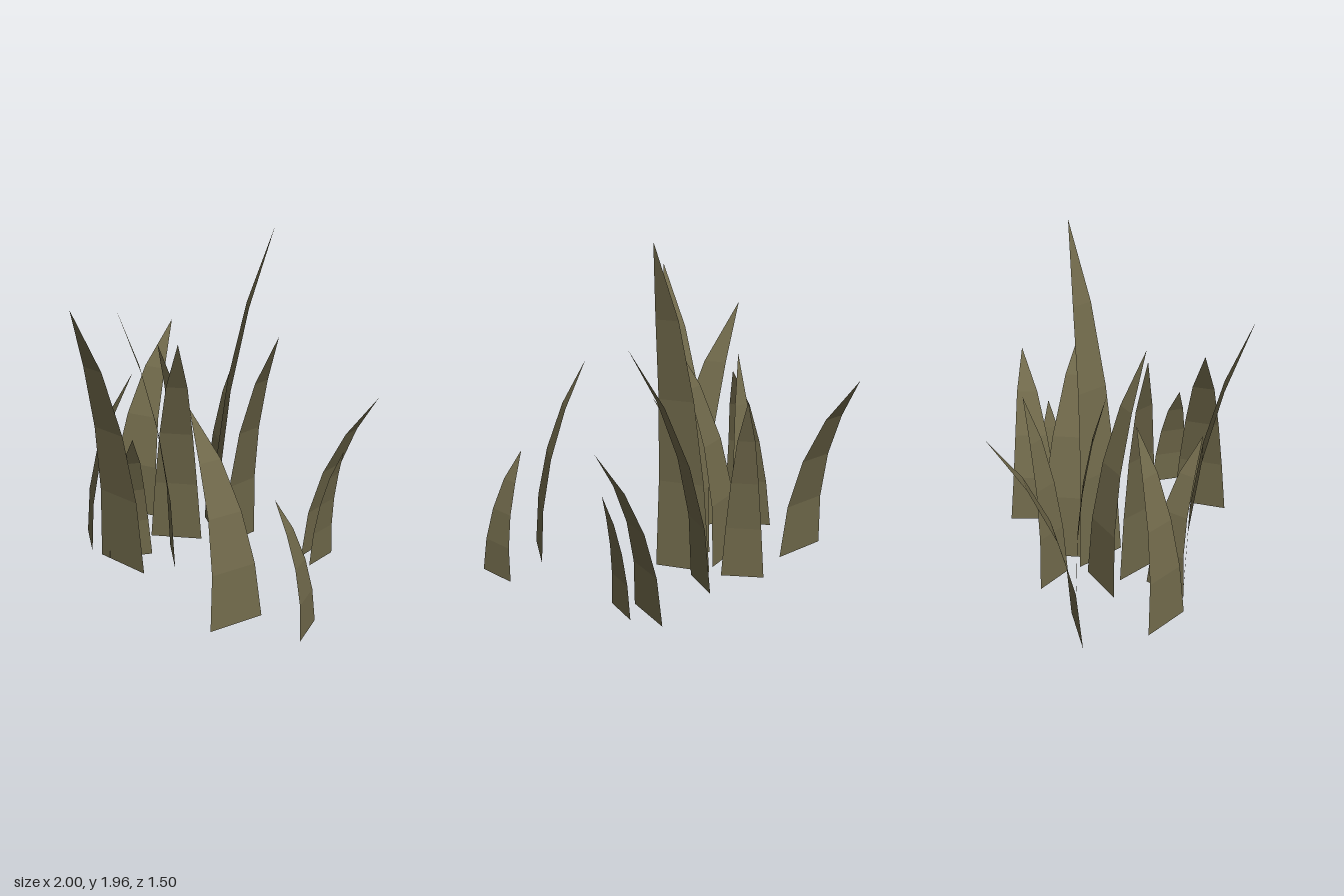
import * as THREE from 'three';

// Each blade: base corner A (x, z), base corner B (x, z), tip (x, y, z)
const BLADES = [
  [[-1.0, 0.0], [-0.69, -0.14], [-0.98, 1.16, -0.49]],
  [[-0.81, 0.31], [-0.55, 0.455], [-0.495, 1.07, 0.175]],
  [[-0.55, -0.15], [-0.35, -0.195], [-0.465, 1.22, 0.015]],
  [[-0.48, 0.435], [-0.125, 0.39], [-0.253, 1.6, 0.745]],
  [[-0.32, 0.05], [-0.06, 0.215], [-0.55, 1.46, 0.245]],
  [[-0.41, 0.43], [-0.3, 0.2], [-0.1, 0.85, 0.47]],
  [[-0.5, 0.055], [-0.27, -0.15], [-0.1, 1.33, 0.15]],
  [[-0.5, -0.365], [-0.28, -0.265], [-0.34, 1.1, -0.48]],
  [[-0.23, -0.205], [0.03, -0.02], [0.14, 1.96, -0.335]],
  [[-0.145, -0.465], [-0.12, -0.205], [0.26, 1.38, -0.27]],
  [[0.22, -0.75], [0.285, -0.455], [0.57, 1.0, -0.75]],
  [[0.36, -0.63], [0.402, -0.41], [0.49, 0.7, -0.57]],
  [[0.66, 0.19], [0.625, 0.515], [0.325, 1.14, 0.41]],
  [[0.88, 0.005], [0.995, 0.22], [0.757, 0.71, 0.195]],
];
const SEGMENTS = 4;

// Flat ribbon that tapers to its tip and leans further the higher it goes
function bladeGeometry([a, b, tip]) {
  const mid = [(a[0] + b[0]) / 2, (a[1] + b[1]) / 2];
  const half = [(b[0] - a[0]) / 2, (b[1] - a[1]) / 2];
  const positions = [];
  const index = [];
  for (let i = 0; i <= SEGMENTS; i++) {
    const t = i / SEGMENTS;
    const lean = t * t;
    const width = Math.pow(1 - t, 0.65);
    const x = mid[0] + (tip[0] - mid[0]) * lean;
    const y = tip[1] * (1.12 * t - 0.12 * t * t);
    const z = mid[1] + (tip[2] - mid[1]) * lean;
    if (i === SEGMENTS) {
      positions.push(x, y, z);
      break;
    }
    for (const side of [-1, 1]) {
      positions.push(x + side * half[0] * width, y, z + side * half[1] * width);
    }
    const k = i * 2;
    if (i < SEGMENTS - 1) index.push(k, k + 1, k + 3, k, k + 3, k + 2);
    else index.push(k, k + 1, k + 2);
  }
  const geometry = new THREE.BufferGeometry();
  geometry.setAttribute('position', new THREE.Float32BufferAttribute(positions, 3));
  geometry.setIndex(index);
  geometry.computeVertexNormals();
  return geometry;
}

export function createModel() {
  const group = new THREE.Group();
  group.name = 'grassClump';
  const grass = new THREE.MeshStandardMaterial({
    color: 0x726b4c,
    side: THREE.DoubleSide,
    flatShading: true,
  });
  grass.name = 'dryGrass';

  BLADES.forEach((blade, i) => {
    const mesh = new THREE.Mesh(bladeGeometry(blade), grass);
    mesh.name = `grassBlade${i + 1}`;
    group.add(mesh);
  });
  return group;
}
